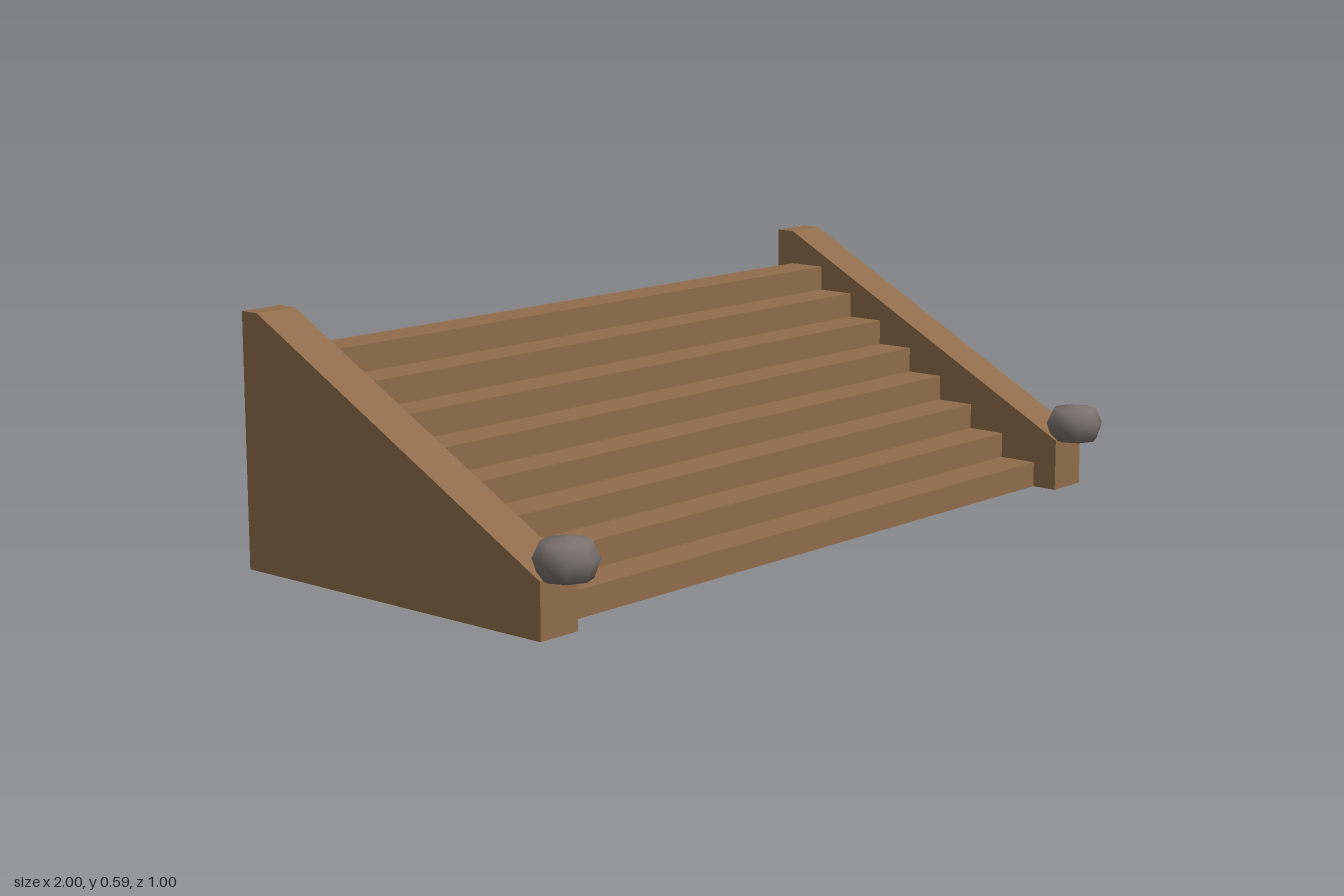
import * as THREE from 'three';

const wood = new THREE.MeshStandardMaterial({ color: 0x8f6d4b });
wood.name = 'brown wood';
const stone = new THREE.MeshStandardMaterial({ color: 0x7b716e });
stone.name = 'grey stone';

// Extrudes a [z, y] side profile along x, from x0 to x1
function extrudeAlongX(name, profile, x0, x1) {
  const shape = new THREE.Shape(profile.map(([z, y]) => new THREE.Vector2(-z, y)));
  const geometry = new THREE.ExtrudeGeometry(shape, { depth: x1 - x0, bevelEnabled: false });
  geometry.rotateY(Math.PI / 2);
  geometry.translate(x0, 0, 0);
  const mesh = new THREE.Mesh(geometry, wood);
  mesh.name = name;
  return mesh;
}

export function createModel() {
  const model = new THREE.Group();
  model.name = 'staircase';

  // Flight of eight equal steps
  const count = 8, front = 0.345, back = -0.45, height = 0.5;
  const run = (front - back) / count, rise = height / count;
  const steps = [[back, 0], [front, 0]];
  for (let i = 0; i < count; i++) {
    steps.push([front - i * run, (i + 1) * rise], [front - (i + 1) * run, (i + 1) * rise]);
  }
  model.add(extrudeAlongX('steps', steps, -0.88, 0.87));

  // Sloping side walls
  const wall = [[-0.5, 0], [0.41, 0], [0.41, 0.127], [-0.45, 0.587], [-0.5, 0.587]];
  model.add(extrudeAlongX('rightWall', wall, -0.99, -0.88));
  model.add(extrudeAlongX('leftWall', wall, 0.87, 0.98));

  // Flattened rounded stones on the front ends of the walls
  const profile = [[0, -0.046], [0.057, -0.042], [0.071, 0.001], [0.054, 0.037], [0, 0.046]];
  const stoneGeometry = new THREE.LatheGeometry(
    profile.map(([r, y]) => new THREE.Vector2(r, y)), 8);
  for (const [name, x] of [['rightStone', -0.931], ['leftStone', 0.925]]) {
    const mesh = new THREE.Mesh(stoneGeometry, stone);
    mesh.name = name;
    mesh.position.set(x, 0.168, 0.428);
    model.add(mesh);
  }

  return model;
}
